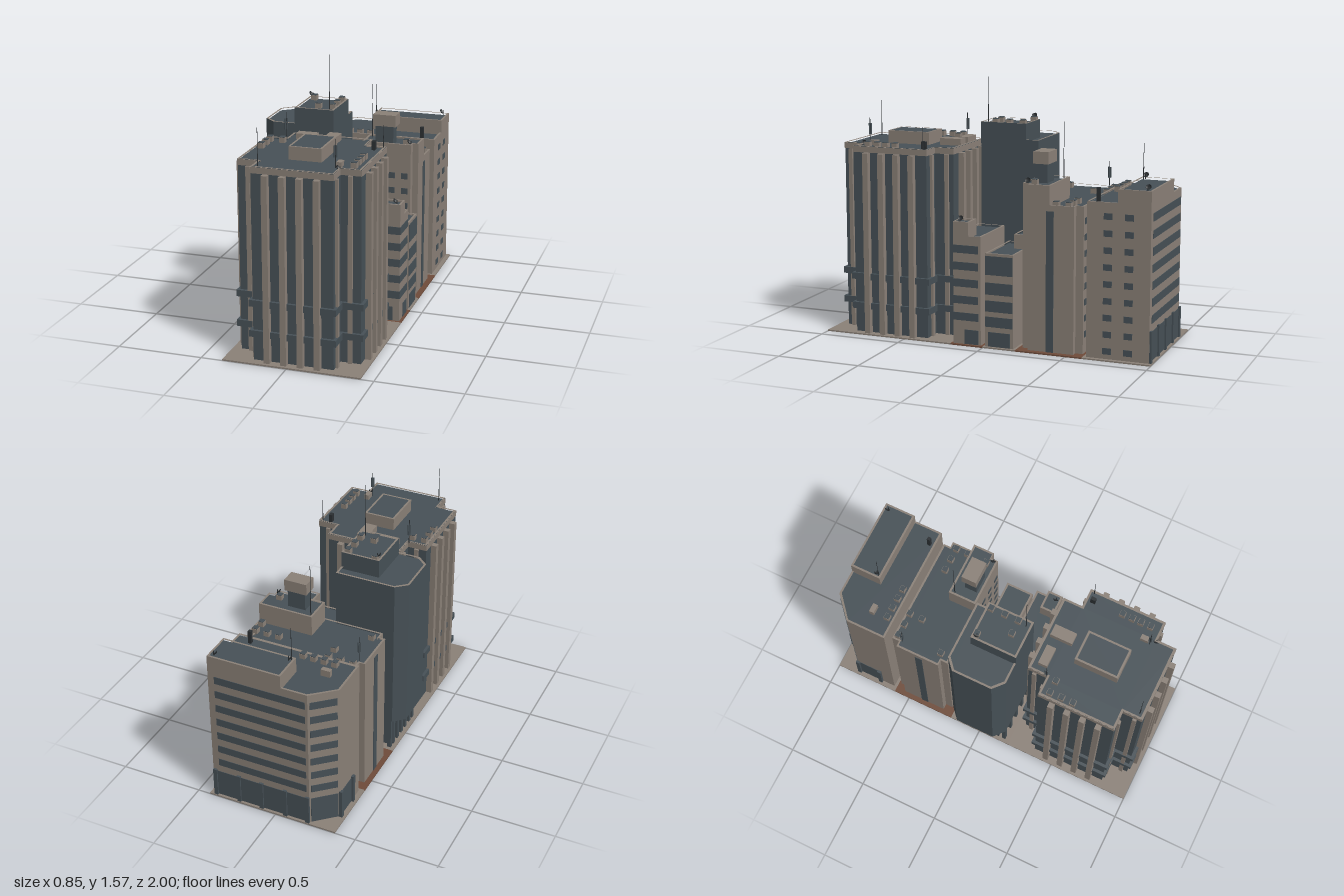
import * as THREE from 'three';

const mat = (name, color, side = THREE.FrontSide) => {
  const m = new THREE.MeshStandardMaterial({ color, side });
  m.name = name;
  return m;
};

export function createModel() {
  const stone = mat('stone', 0x8a8077);
  const slate = mat('slate', 0x465056);
  const brown = mat('brown paving', 0x6e4b3a);
  const metal = mat('dark metal', 0x2b2f32, THREE.DoubleSide);
  const root = new THREE.Group();
  root.name = 'cityBlock';
  let group = root;

  const begin = (name) => {
    group = new THREE.Group();
    group.name = name;
    root.add(group);
  };
  const add = (name, geometry, material) => {
    const mesh = new THREE.Mesh(geometry, material);
    mesh.name = name;
    group.add(mesh);
    return mesh;
  };
  const box = (name, x0, x1, y0, y1, z0, z1, m) => {
    const g = new THREE.BoxGeometry(x1 - x0, y1 - y0, z1 - z0);
    g.translate((x0 + x1) / 2, (y0 + y1) / 2, (z0 + z1) / 2);
    return add(name, g, m);
  };

  // Plan outlines are lists of [x, z]
  const rect = (x0, x1, z0, z1) => [[x0, z0], [x1, z0], [x1, z1], [x0, z1]];
  const inset = (plan, t) => {
    const c = [0, 1].map((k) => {
      const v = plan.map((p) => p[k]);
      const lo = Math.min(...v), hi = Math.max(...v);
      return [(lo + hi) / 2, 1 - 2 * t / (hi - lo)];
    });
    return plan.map((p) => p.map((v, k) => c[k][0] + (v - c[k][0]) * c[k][1]));
  };
  const toPoints = (plan) => plan.map(([x, z]) => new THREE.Vector2(x, -z));
  const prism = (name, plan, y0, y1, m, hole) => {
    const shape = new THREE.Shape(toPoints(plan));
    if (hole) shape.holes.push(new THREE.Path(toPoints(hole)));
    const g = new THREE.ExtrudeGeometry(shape, { depth: y1 - y0, bevelEnabled: false });
    g.rotateX(-Math.PI / 2);
    g.translate(0, y0, 0);
    return add(name, g, m);
  };
  // Walls with a slate roof sunk behind a thin parapet
  const block = (name, plan, y0, y1, wall, lip = 0.015) => {
    prism(name + 'Walls', plan, y0, y1 - lip, [slate, wall]);
    prism(name + 'Parapet', plan, y1 - lip, y1, [stone, wall], inset(plan, 0.012));
  };

  // Rooftop equipment
  const units = (y, list) => list.forEach(([x, z]) => {
    box('airUnit', x - 0.017, x + 0.017, y, y + 0.03, z - 0.017, z + 0.017, stone);
    box('airUnitFan', x - 0.015, x + 0.015, y + 0.03, y + 0.034, z - 0.015, z + 0.015, slate);
  });
  const rod = (name, x, z, y0, y1, r, m = metal) => {
    const g = new THREE.CylinderGeometry(r, r, y1 - y0, 8);
    g.translate(x, (y0 + y1) / 2, z);
    add(name, g, m);
  };
  const mast = (x, z, y0, y1) => {
    rod('mastFoot', x, z, y0, y0 + (y1 - y0) * 0.35, 0.003);
    rod('mast', x, z, y0, y1, 0.0015);
  };
  const cellMast = (x, z, y) => {
    rod('cellMast', x, z, y, y + 0.16, 0.002);
    for (let i = 0; i < 3; i++) {
      const a = i * Math.PI * 2 / 3;
      rod('cellPanel', x + Math.cos(a) * 0.007, z + Math.sin(a) * 0.007, y + 0.06, y + 0.125, 0.004, slate);
    }
  };
  const dish = (x, z, y) => {
    rod('dishPost', x, z, y, y + 0.03, 0.003);
    const bowl = add('dish', new THREE.SphereGeometry(0.02, 10, 4, 0, Math.PI * 2, 0, 1), metal);
    bowl.position.set(x, y + 0.03, z);
    bowl.rotation.z = 2.2;
  };

  // Paving
  begin('paving');
  box('frontPaving', -0.375, 0.425, 0, 0.008, 0.2, 1, stone);
  box('leftPaving', -0.375, 0.025, 0, 0.008, -0.2, 0.2, stone);
  box('rightBackPaving', 0.025, 0.425, 0, 0.008, -0.2, 0, stone);
  box('rightFrontPaving', 0.025, 0.425, 0, 0.008, 0, 0.2, brown);
  box('middlePaving', -0.375, 0.425, 0, 0.008, -0.6, -0.2, brown);
  box('backPaving', -0.375, 0.425, 0, 0.008, -1, -0.6, stone);

  // Front tower: cross-shaped plan with ribs on every face
  begin('frontTower');
  const cx = 0.025, cz = 0.597;
  const cross = (e) => {
    const w = 0.35 + e, n = 0.232 + e;
    return [[-n, -w], [n, -w], [n, -n], [w, -n], [w, n], [n, n], [n, w], [-n, w], [-n, n], [-w, n], [-w, -n], [-n, -n]]
      .map(([x, z]) => [x + cx, z + cz]);
  };
  block('tower', cross(0), 0.008, 1.122, slate, 0.012);
  prism('towerCornice', cross(0.003), 1.085, 1.12, stone, cross(-0.01));
  for (const y of [0.15, 0.328]) prism('towerBand', cross(0.018), y, y + 0.038, slate, cross(-0.01));
  const rib = (x, z, w) => box('rib', cx + x - w, cx + x + w, 0.008, 1.085, cz + z - w, cz + z + w, stone);
  for (const s of [-1, 1]) {
    for (const o of [-0.145, -0.048, 0.048, 0.145]) {
      rib(o, s * 0.368, 0.017);
      rib(s * 0.368, o, 0.017);
    }
    for (const t of [-1, 1]) {
      rib(s * 0.29, t * 0.235, 0.012);
      rib(s * 0.235, t * 0.31, 0.012);
    }
  }
  block('penthouse', rect(-0.07, 0.12, 0.465, 0.73), 1.1, 1.185, stone, 0.004);
  box('plantBox', -0.165, -0.045, 1.1, 1.145, 0.285, 0.34, stone);
  box('plantBox', 0.015, 0.085, 1.1, 1.15, 0.275, 0.41, stone);
  box('plantBox', 0.22, 0.25, 1.1, 1.14, 0.74, 0.79, stone);
  units(1.11, [[-0.29, 0.42], [-0.215, 0.42], [-0.29, 0.49], [-0.29, 0.56],
    [0.315, 0.59], [0.315, 0.65], [0.315, 0.705], [0.315, 0.765]]);
  mast(-0.175, 0.92, 1.11, 1.33);
  mast(0.365, 0.39, 1.11, 1.25);
  cellMast(0.22, 0.8, 1.11);
  cellMast(-0.215, 0.36, 1.11);
  dish(0.255, 0.83, 1.1);
  box('equipmentCabinet', 0.305, 0.325, 1.11, 1.16, 0.39, 0.42, metal);

  // Tall dark building on the left, overhanging a recessed ground floor
  begin('tallDarkBuilding');
  block('tall', [[-0.36, -0.182], [0.005, -0.182], [0.005, 0.178], [-0.36, 0.178], [-0.425, 0.12], [-0.425, -0.125]],
    0.21, 1.155, slate);
  block('tallUpper', rect(-0.23, 0.005, -0.105, 0.178), 1.14, 1.25, slate);
  box('groundFloor', -0.32, 0, 0.008, 0.21, -0.15, 0.15, slate);
  for (let i = 0; i < 5; i++) {
    const x = -0.34 + i * 0.08;
    for (const z of [-0.165, 0.16]) box('pillar', x - 0.012, x + 0.012, 0.008, 0.21, z - 0.012, z + 0.012, slate);
    const z = -0.125 + i * 0.06;
    box('pillar', -0.352, -0.328, 0.008, 0.21, z - 0.012, z + 0.012, slate);
  }
  units(1.236, [[-0.195, -0.08], [-0.025, -0.075], [-0.025, 0.01], [-0.11, 0.095], [-0.025, 0.095]]);
  mast(-0.03, 0.145, 1.235, 1.567);
  dish(-0.205, -0.075, 1.25);

  // Two low office buildings on the right with wrapped window bands
  const strip = (x0, x1, y0, y1, z0, z1) => box('windowBand', x0, x1, y0, y1, z0, z1, slate);
  begin('lowOfficeFront');
  block('office', rect(0.04, 0.41, 0.015, 0.185), 0.008, 0.645, stone);
  block('officeStair', rect(0.29, 0.41, 0.09, 0.185), 0.63, 0.725, stone);
  for (const y of [0.148, 0.247, 0.346, 0.445, 0.544]) {
    strip(0.408, 0.413, y, y + 0.046, 0.03, 0.187);
    strip(0.08, 0.411, y, y + 0.046, 0.183, 0.188);
  }
  strip(0.408, 0.413, 0.01, 0.095, 0.03, 0.115);
  strip(0.08, 0.37, 0.01, 0.095, 0.183, 0.188);
  dish(0.38, 0.155, 0.715);

  begin('lowOfficeBack');
  block('office', rect(0.04, 0.41, -0.185, -0.012), 0.008, 0.555, stone);
  block('officeStair', rect(0.04, 0.17, -0.185, -0.095), 0.54, 0.625, stone);
  for (const [y0, y1] of [[0.43, 0.54], [0.315, 0.385], [0.215, 0.28], [0.125, 0.185]]) {
    strip(0.408, 0.413, y0, y1, -0.18, -0.014);
  }
  strip(0.408, 0.413, 0.01, 0.095, -0.165, -0.03);
  dish(0.15, -0.13, 0.575);

  // Middle building with notched corners and a rooftop tank
  begin('middleBuilding');
  const [ex, fx, ez, fz, nx, nz] = [-0.345, 0.392, -0.585, -0.222, 0.035, 0.045];
  block('middle', [[ex + nx, ez], [fx - nx, ez], [fx - nx, ez + nz], [fx, ez + nz], [fx, fz - nz], [fx - nx, fz - nz],
    [fx - nx, fz], [ex + nx, fz], [ex + nx, fz - nz], [ex, fz - nz], [ex, ez + nz], [ex + nx, ez + nz]], 0.008, 0.855, stone);
  block('middleUpper', [[0.055, -0.395], [fx, -0.395], [fx, fz - nz], [fx - nx, fz - nz], [fx - nx, fz], [0.055, fz]],
    0.84, 0.965, stone);
  for (const x of [ex, fx]) strip(x - 0.003, x + 0.003, 0.008, 0.82, -0.42, -0.375);
  for (let r = 0; r < 8; r++) for (const x of [-0.22, -0.08, 0.08, 0.16, 0.24, 0.32]) {
    const y = 0.1 + r * 0.093;
    for (const z of [ez, fz]) box('window', x - 0.02, x + 0.02, y, y + 0.036, z - 0.003, z + 0.003, slate);
  }
  box('tankBase', 0.13, 0.24, 0.95, 1.06, -0.325, -0.25, slate);
  box('tank', 0.115, 0.255, 1.06, 1.13, -0.337, -0.245, stone);
  units(0.842, [[-0.28, -0.56], [-0.205, -0.56], [-0.13, -0.56], [-0.13, -0.48], [-0.27, -0.285],
    [0.21, -0.5], [0.285, -0.5], [0.36, -0.5], [0.36, -0.425]]);
  units(0.952, [[0.315, -0.28]]);
  mast(0.075, -0.365, 0.95, 1.283);
  cellMast(-0.3, -0.52, 0.85);
  dish(0.35, -0.245, 0.955);

  // Back building with one cut corner, banded rear and small side windows
  begin('backBuilding');
  block('back', [[-0.21, -0.985], [0.4, -0.985], [0.4, -0.618], [-0.345, -0.618], [-0.345, -0.865]], 0.008, 0.895, stone);
  block('backUpper', rect(-0.05, 0.4, -0.985, -0.795), 0.88, 0.972, stone);
  const cutFace = (name, length, y0, y1, depth, m) => {
    const p = box(name, -length / 2, length / 2, y0, y1, -depth, depth, m);
    p.position.set(-0.2775, 0, -0.925);
    p.rotation.y = Math.atan2(0.12, 0.135);
  };
  for (let r = 0; r < 9; r++) {
    const y = 0.035 + r * 0.0955;
    for (const z of [-0.74, -0.862]) box('window', 0.397, 0.403, y, y + 0.036, z - 0.025, z + 0.025, slate);
    if (r < 2) continue;
    strip(-0.195, 0.36, y, y + 0.046, -0.988, -0.982);
    cutFace('windowBand', 0.155, y, y + 0.046, 0.003, slate);
  }
  strip(-0.2, 0.375, 0.012, 0.18, -0.988, -0.982);
  cutFace('shopGlass', 0.16, 0.012, 0.18, 0.003, slate);
  strip(-0.348, -0.342, 0.012, 0.18, -0.85, -0.72);
  for (const x of [-0.2, -0.06, 0.09, 0.235, 0.385]) box('shopPillar', x - 0.012, x + 0.012, 0.008, 0.19, -0.997, -0.98, slate);
  for (const z of [-0.86, -0.71]) box('shopPillar', -0.36, -0.34, 0.008, 0.19, z - 0.012, z + 0.012, slate);
  box('plantBox', -0.24, -0.185, 0.88, 0.92, -0.77, -0.74, stone);
  units(0.882, [[-0.22, -0.66], [-0.155, -0.66], [-0.09, -0.66], [-0.025, -0.66]]);
  box('equipmentCabinet', 0.3, 0.32, 0.88, 0.96, -0.665, -0.645, metal);
  mast(-0.03, -0.81, 0.96, 1.17);
  dish(0.37, -0.955, 0.965);
  dish(-0.02, -0.825, 0.965);

  return root;
}
